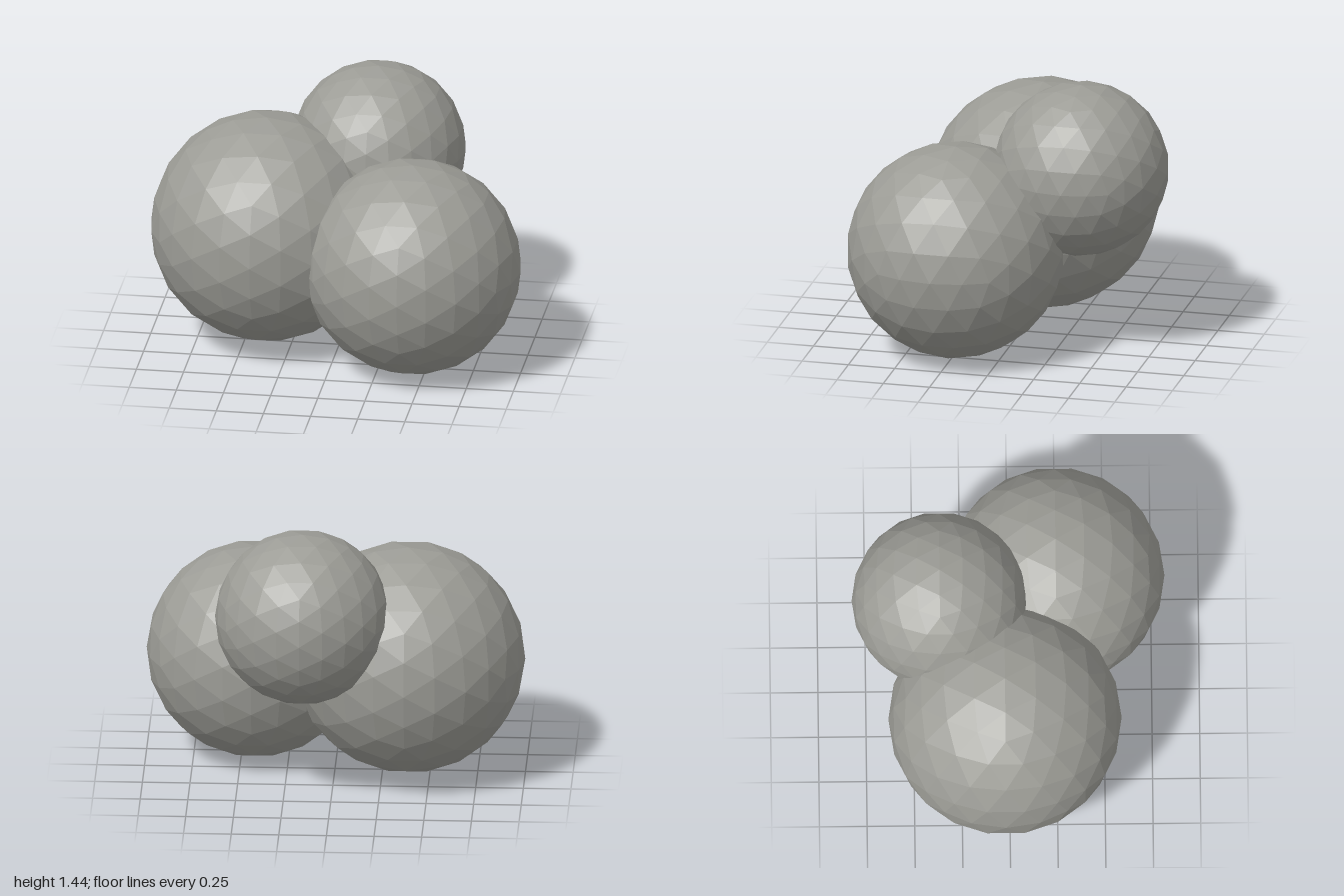
import * as THREE from 'three';

// Three overlapping faceted balls: name, radius, centre
const BALLS = [
  ['rightBall', 0.612, [-0.388, 0.642, -0.023]],
  ['leftBall', 0.572, [0.428, 0.572, 0.25]],
  ['upperBackBall', 0.461, [0.153, 0.982, -0.361]],
];

export function createModel() {
  const group = new THREE.Group();
  group.name = 'ballCluster';
  const material = new THREE.MeshStandardMaterial({ color: 0x9c9c96, flatShading: true });

  for (const [name, radius, centre] of BALLS) {
    const ball = new THREE.Mesh(new THREE.IcosahedronGeometry(radius, 3), material);
    ball.name = name;
    ball.position.set(...centre);
    group.add(ball);
  }
  return group;
}
